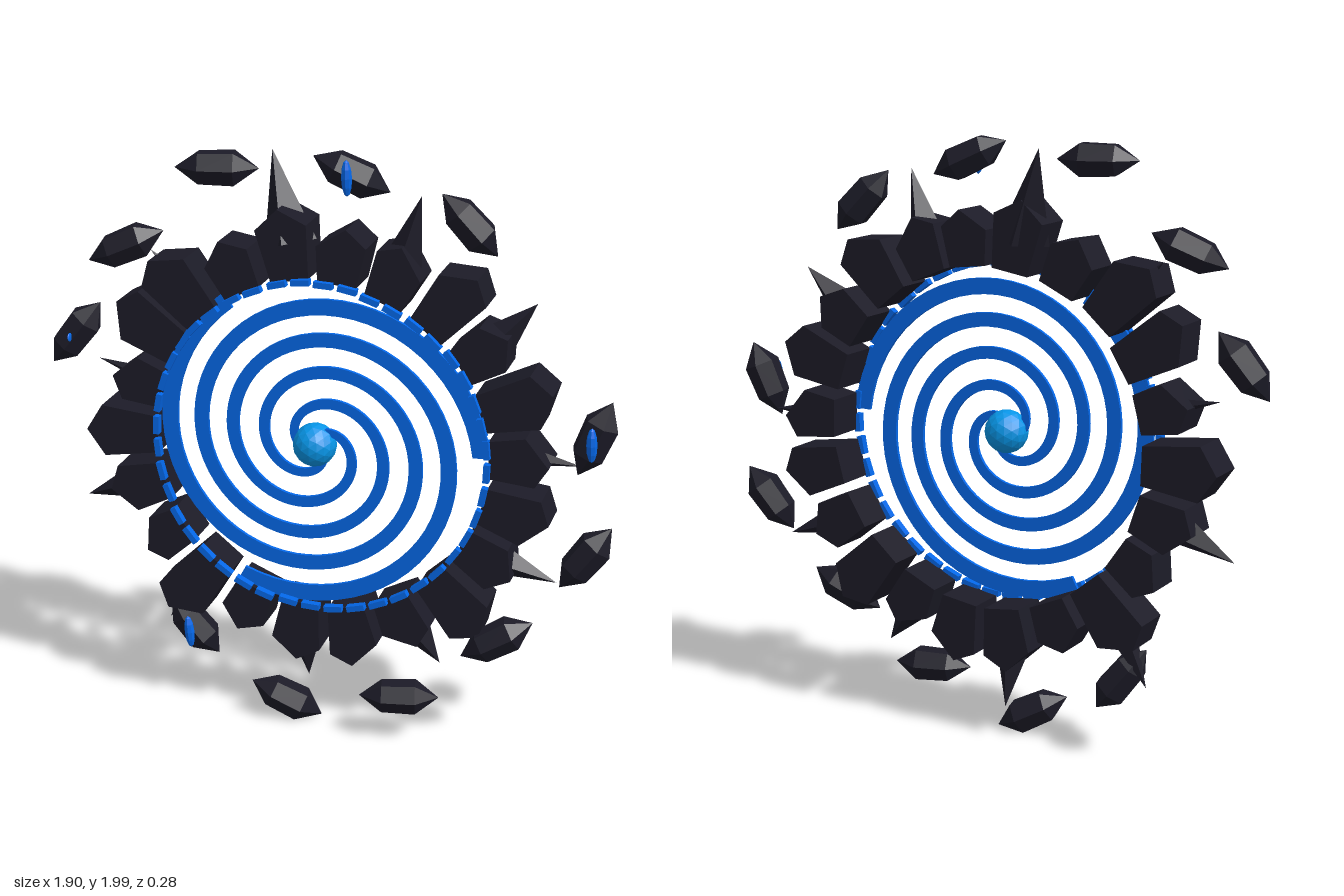
import * as THREE from 'three';

const CX = -0.015, CY = 1.02; // ring centre
const mat = (name, color) => {
  const m = new THREE.MeshStandardMaterial({ color, flatShading: true });
  m.name = name;
  return m;
};

export function createModel() {
  const stoneMat = mat('dark stone', 0x1c1b27);
  const blueMat = mat('portal blue', 0x046aee);
  const orbMat = mat('light blue', 0x079bf0);
  const model = new THREE.Group();
  model.name = 'portal';
  const add = (name, geo, material, parent = model) => {
    const mesh = new THREE.Mesh(geo, material);
    mesh.name = name;
    parent.add(mesh);
    return mesh;
  };

  // Spiral arms: flat bands that widen as they wind outward, clockwise
  const spiralArm = (endAngle) => {
    const outer = [], inner = [], steps = 90, turns = 1.5;
    for (let i = 0; i <= steps; i++) {
      const t = i / steps;
      const a = endAngle + (1 - t) * turns * Math.PI * 2;
      const r = 0.055 + 0.5 * t, w = 0.015 + 0.014 * t;
      outer.push(new THREE.Vector2(Math.cos(a) * (r + w), Math.sin(a) * (r + w)));
      inner.push(new THREE.Vector2(Math.cos(a) * (r - w), Math.sin(a) * (r - w)));
    }
    const shape = new THREE.Shape([...outer, ...inner.reverse()]);
    return new THREE.ExtrudeGeometry(shape, { depth: 0.012, bevelEnabled: false });
  };
  for (let i = 0; i < 3; i++) {
    add('spiralArm', spiralArm(THREE.MathUtils.degToRad(2 + 120 * i)), blueMat)
      .position.set(-0.025, 1.028, 0.04);
  }

  // Glowing core
  add('core', new THREE.IcosahedronGeometry(0.073, 2), orbMat).position.set(-0.03, 1.028, 0.038);

  // Ring stones, clockwise from the top: [outer radius, depth offset]
  const stones = [
    [0.8, -0.03], [0.75, -0.015], [0.76, 0.005], [0.81, -0.005], [0.75, -0.03], [0.81, -0.02],
    [0.76, -0.035], [0.79, -0.03], [0.76, -0.03], [0.82, -0.02], [0.75, -0.01],
    [0.78, -0.01], [0.78, -0.015], [0.74, 0], [0.83, 0], [0.74, 0],
    [0.77, -0.02], [0.82, -0.03], [0.74, -0.03], [0.82, -0.03], [0.82, 0.01], [0.75, -0.01],
  ];
  // Spike tips, one on every second stone: [x, y, z, base radius]
  const tips = [
    [-0.21, 1.97, -0.09, 0.09], [0.31, 1.88, 0.01, 0.07], [0.67, 1.54, -0.07, 0.07],
    [0.84, 1.03, -0.02, 0.035], [0.77, 0.6, -0.05, 0.06], [0.39, 0.265, -0.02, 0.07],
    [-0.09, 0.12, -0.08, 0.075], [-0.6, 0.27, -0.08, 0.07], [-0.88, 0.715, -0.05, 0.07],
    [-0.82, 1.22, -0.05, 0.025], [-0.6, 1.63, 0, 0.04],
  ];
  const up = new THREE.Vector3(0, 1, 0);
  stones.forEach(([h, z], i) => {
    const angle = THREE.MathUtils.degToRad(100 - (i * 360) / 22);
    const group = new THREE.Group();
    group.name = 'ringStone';
    group.position.set(CX, CY, z);
    group.rotation.z = angle - Math.PI / 2;
    model.add(group);

    const wide = 0.08 + (h - 0.74) * 0.12, lean = 0.015 * Math.sin(i * 2.4);
    const shape = new THREE.Shape([
      new THREE.Vector2(-0.064, 0.566), new THREE.Vector2(0.064, 0.566),
      new THREE.Vector2(wide, h - 0.06 + lean), new THREE.Vector2(lean, h),
      new THREE.Vector2(-wide, h - 0.06 - lean),
    ]);
    const body = new THREE.ExtrudeGeometry(shape, { depth: 0.145, bevelEnabled: false });
    body.translate(0, 0, -0.0725);
    add('stoneBlock', body, stoneMat, group);

    // Glowing dashes along the inner edge
    for (const side of [-1, 1]) {
      const dash = add('glowDash', new THREE.BoxGeometry(0.062, 0.02, 0.026), blueMat, group);
      dash.position.set(side * 0.04, 0.561, 0.08);
      dash.rotation.z = -side * 0.07;
    }

    // Spike leaning out of the stone
    if (i % 2 === 0) {
      const [tx, ty, tz, radius] = tips[i / 2];
      const base = new THREE.Vector3(CX + Math.cos(angle) * 0.67, CY + Math.sin(angle) * 0.67, z);
      const dir = new THREE.Vector3(tx, ty, tz).sub(base);
      const length = dir.length();
      const spike = add('spike', new THREE.ConeGeometry(radius, length, 4), stoneMat);
      spike.quaternion.setFromUnitVectors(up, dir.normalize());
      spike.position.copy(base).addScaledVector(dir, length / 2);
    }
  });

  // Floating crystals: [x, y, z, tilt in degrees, rune size]
  const crystals = [
    [-0.35, 1.93, 0.045, 0, 0], [0.075, 1.925, -0.02, -25, 1], [0.445, 1.775, -0.075, -48, 0],
    [-0.655, 1.66, 0.075, 23, 0], [-0.87, 1.325, 0.01, 52, 0.25], [0.88, 1.13, -0.015, 68, 1],
    [0.865, 0.71, -0.03, 53, 0], [0.593, 0.405, 0.03, 29, 0], [-0.493, 0.272, -0.04, -52, 1],
    [0.273, 0.165, 0.07, 0, 0], [-0.135, 0.078, 0.03, -27, 0],
  ];
  const profile = [[0, -0.134], [0.056, -0.058], [0.06, 0.055], [0, 0.134]]
    .map(([r, y]) => new THREE.Vector2(r, y));
  crystals.forEach(([x, y, z, tilt, rune]) => {
    const group = new THREE.Group();
    group.name = 'floatingCrystal';
    group.position.set(x, y, z);
    model.add(group);
    const crystal = add('crystal', new THREE.LatheGeometry(profile, 6), stoneMat, group);
    crystal.rotation.set(0, 0.22, THREE.MathUtils.degToRad(tilt - 90), 'YXZ');
    if (rune) {
      // Slim glowing rune on the front
      const slit = add('rune', new THREE.SphereGeometry(1, 8, 6), blueMat, group);
      slit.scale.set(0.018 * rune, 0.058 * rune, 0.018);
      slit.position.z = 0.06;
      slit.rotation.z = x < 0 ? 0.1 : 0.03;
    }
  });

  return model;
}
